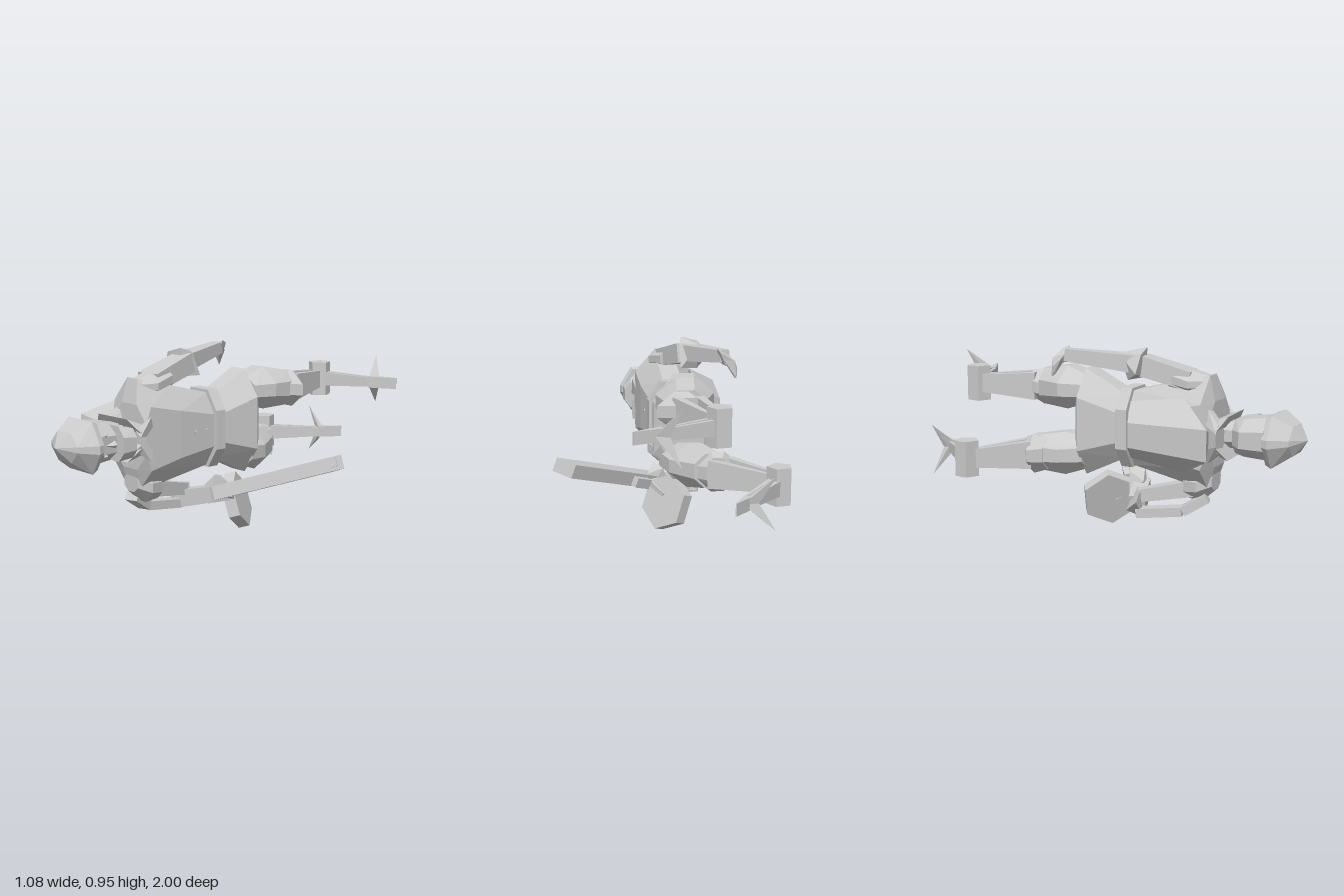
import * as THREE from 'three';
import { ConvexGeometry } from 'three/addons/geometries/ConvexGeometry.js';

const MID = 0.55; // the body's own mirror plane is y = MID
const mat = new THREE.MeshStandardMaterial({ color: 0xcccccc, flatShading: true });
const V = (p) => new THREE.Vector3(...p);
const flip = (pts) => pts.map(([x, y, z]) => [x, 2 * MID - y, z]);

// Chamfered rectangular cross-section at one z
function ring(z, x0, x1, y0, y1, kx = 0.28, ky = kx) {
  const a = (x1 - x0) * kx, b = (y1 - y0) * ky;
  return [[x0 + a, y0, z], [x1 - a, y0, z], [x1, y0 + b, z], [x1, y1 - b, z],
    [x1 - a, y1, z], [x0 + a, y1, z], [x0, y1 - b, z], [x0, y0 + b, z]];
}

export function createModel() {
  const root = new THREE.Group();
  const add = (parent, name, geo) => {
    const m = new THREE.Mesh(geo, mat);
    m.name = name;
    parent.add(m);
    return m;
  };
  const group = (name) => {
    const g = new THREE.Group();
    g.name = name;
    root.add(g);
    return g;
  };
  const hull = (parent, name, ...sets) => add(parent, name, new ConvexGeometry(sets.flat().map(V)));

  // Tapered bar from a to b; sizes are [width along side, thickness]
  function bar(parent, name, a, b, s0, s1, side = [0, 1, 0]) {
    const A = V(a), B = V(b), dir = B.clone().sub(A).normalize();
    const t = dir.clone().cross(V(side)).normalize(), w = t.clone().cross(dir);
    const pts = [];
    for (const [c, s] of [[A, s0], [B, s1]])
      for (const i of [-0.5, 0.5]) for (const j of [-0.5, 0.5])
        pts.push(c.clone().addScaledVector(w, i * s[0]).addScaledVector(t, j * s[1]));
    return add(parent, name, new ConvexGeometry(pts));
  }

  // Head with pointed helmet, face and jaw guard
  const head = group('head');
  hull(head, 'helmet', ring(0.825, -0.25, 0.05, 0.435, 0.66, 0.2, 0.42), ring(0.855, -0.26, 0.06, 0.42, 0.67, 0.2, 0.42),
    ring(0.945, -0.21, 0.01, 0.48, 0.62, 0.25, 0.4), [[-0.1, MID, 1.0]]);
  hull(head, 'face', ring(0.655, -0.19, -0.03, 0.465, 0.63), ring(0.71, -0.245, 0.0, 0.46, 0.64),
    ring(0.83, -0.24, 0.02, 0.45, 0.655));
  hull(head, 'jawGuard', ring(0.645, -0.05, 0.06, 0.48, 0.62), ring(0.72, -0.1, 0.06, 0.465, 0.635));
  hull(head, 'nose', [[0.0, 0.53, 0.73], [0.0, 0.57, 0.73], [0.035, 0.55, 0.74], [0.01, 0.55, 0.8]]);
  hull(head, 'neck', ring(0.54, -0.18, -0.06, 0.48, 0.62), ring(0.69, -0.17, -0.05, 0.49, 0.61));
  for (const y of [0.5, 0.6]) {
    const eye = add(head, 'eye', new THREE.IcosahedronGeometry(0.011, 0));
    eye.position.set(0.012, y, 0.79);
  }

  // Torso, belt and hips
  const body = group('body');
  hull(body, 'chest', ring(0.12, -0.23, 0.0, 0.355, 0.725), ring(0.35, -0.26, 0.02, 0.315, 0.785, 0.33, 0.25),
    ring(0.53, -0.28, 0.02, 0.27, 0.83, 0.37, 0.22), ring(0.56, -0.25, 0.02, 0.39, 0.71));
  hull(body, 'belt', ring(0.065, -0.25, 0.02, 0.345, 0.74, 0.25), ring(0.125, -0.25, 0.02, 0.345, 0.74, 0.25));
  hull(body, 'hips', ring(0.07, -0.23, 0.0, 0.38, 0.71), ring(-0.14, -0.27, 0.03, 0.28, 0.82, 0.33, 0.25),
    ring(-0.175, -0.22, 0.0, 0.36, 0.74));
  for (const z of [0.17, 0.25]) {
    const stud = add(body, 'chestStud', new THREE.CylinderGeometry(0.009, 0.009, 0.015, 6));
    stud.rotation.z = Math.PI / 2;
    stud.position.set(z === 0.17 ? 0.001 : 0.009, MID, z);
  }
  // Flared collar halves with sharp outer tips, and pointed lapels on the chest
  const collar = [[-0.3, 0.59, 0.62], [-0.24, 0.655, 0.655], [-0.02, 0.655, 0.645], [0.03, 0.59, 0.6],
    [-0.23, 0.62, 0.56], [0.0, 0.62, 0.56], [-0.22, 0.58, 0.56], [0.0, 0.58, 0.56]];
  const lapel = [[0.005, 0.56, 0.5], [0.03, 0.57, 0.6], [0.0, 0.6, 0.61], [0.035, 0.66, 0.54], [0.0, 0.66, 0.52]];
  for (const [side, place] of [['Left', (p) => p], ['Right', flip]]) {
    hull(body, 'collar' + side, place(collar));
    hull(body, 'lapel' + side, place(lapel));
  }
  hull(body, 'collarBack', ring(0.55, -0.26, -0.16, 0.42, 0.68), ring(0.62, -0.3, -0.2, 0.48, 0.62));

  // Wedge-shaped backpack
  const pack = [[-0.26, 0.73, 0.44], [-0.25, 0.69, 0.15], [-0.43, 0.625, 0.63], [-0.38, 0.61, 0.2], [-0.27, 0.58, 0.57]];
  hull(body, 'backpack', pack, flip(pack));

  // Digitigrade legs: thigh, twin shin plates, pentagonal ankle, twin struts, three-pronged foot
  function leg(name, thigh, knee, shins, ankle, struts, foot) {
    const g = group(name);
    hull(g, 'thigh', ...thigh);
    hull(g, 'kneeGuard', ...knee);
    for (const [a, b] of shins) bar(g, 'shinPlate', a, b, [0.14, 0.045], [0.09, 0.02]);
    const hub = add(g, 'ankleHub', new THREE.CylinderGeometry(0.062, 0.062, 0.18, 5));
    hub.position.set(...ankle);
    hub.rotation.y = 0.15;
    for (const [a, b] of struts) bar(g, 'footStrut', a, b, [0.075, 0.022], [0.05, 0.015]);
    const [cx, cy, cz] = foot.heel;
    const [sx, sz] = foot.spike;
    for (const s of [-1, 1])
      hull(g, 'spike', [[cx, cy - 0.03 * s, cz], [cx, cy + 0.03 * s, cz],
        [cx + (sx - cx) * 0.35, cy, cz + (sz - cz) * 0.6], foot.mid, [sx, cy + 0.13 * s, sz]]);
    bar(g, 'toe', foot.heel, foot.toe, [0.06, 0.04], [0.06, 0.006]);
  }
  leg('leftLeg',
    [ring(-0.14, -0.22, 0.01, 0.64, 0.78), ring(-0.26, -0.25, 0.04, 0.6, 0.82, 0.35), ring(-0.41, -0.18, 0.02, 0.61, 0.79)],
    [ring(-0.36, -0.17, 0.02, 0.63, 0.77), ring(-0.43, -0.17, 0.06, 0.6, 0.79, 0.35), ring(-0.485, -0.16, -0.02, 0.64, 0.77)],
    [[[-0.14, 0.7, -0.45], [-0.195, 0.7, -0.75]], [[-0.03, 0.7, -0.45], [-0.145, 0.7, -0.75]]],
    [-0.17, 0.7, -0.775],
    [[[-0.14, 0.7, -0.805], [0.13, 0.7, -0.9]], [[-0.14, 0.7, -0.76], [0.12, 0.7, -0.87]]],
    { heel: [0.11, 0.7, -0.88], mid: [0.15, 0.7, -0.92], spike: [0.045, -1.0], toe: [0.25, 0.7, -0.94] });
  leg('rightLeg',
    [ring(-0.13, -0.24, 0.0, 0.31, 0.47), ring(-0.25, -0.28, -0.03, 0.27, 0.49, 0.35), ring(-0.39, -0.31, -0.13, 0.3, 0.47)],
    [ring(-0.32, -0.3, -0.13, 0.3, 0.46), ring(-0.385, -0.35, -0.14, 0.28, 0.48, 0.35), ring(-0.435, -0.29, -0.18, 0.31, 0.46)],
    [[[-0.305, 0.38, -0.39], [-0.5, 0.375, -0.62]], [[-0.2, 0.38, -0.42], [-0.455, 0.375, -0.62]]],
    [-0.485, 0.375, -0.645],
    [[[-0.475, 0.37, -0.68], [-0.29, 0.37, -0.89]], [[-0.44, 0.37, -0.65], [-0.265, 0.37, -0.87]]],
    { heel: [-0.28, 0.37, -0.88], mid: [-0.25, 0.37, -0.91], spike: [-0.4, -0.92], toe: [-0.2, 0.37, -0.985] });

  // Left arm reaching along the body, with a hooked hand
  const armL = group('leftArm');
  hull(armL, 'shoulder', ring(0.53, -0.17, -0.07, 0.76, 0.82), ring(0.44, -0.23, -0.04, 0.73, 0.845, 0.35),
    ring(0.32, -0.21, -0.08, 0.76, 0.855));
  bar(armL, 'upperArm', [-0.14, 0.8, 0.42], [-0.19, 0.87, 0.15], [0.09, 0.13], [0.1, 0.1]);
  hull(armL, 'elbowCuff', [[-0.3, 0.83, 0.2], [-0.26, 0.92, 0.21], [-0.17, 0.945, 0.2], [-0.15, 0.8, 0.09],
    [-0.24, 0.79, 0.13], [-0.15, 0.92, 0.14], [-0.24, 0.92, 0.08], [-0.17, 0.8, 0.19]]);
  bar(armL, 'forearm', [-0.21, 0.87, 0.15], [-0.32, 0.905, -0.17], [0.085, 0.1], [0.06, 0.055]);
  hull(armL, 'palm', [[-0.28, 0.945, -0.17], [-0.34, 0.91, -0.16], [-0.3, 0.87, -0.15], [-0.29, 0.93, -0.2],
    [-0.355, 0.87, -0.19], [-0.355, 0.89, -0.22], [-0.32, 0.86, -0.2]]);
  hull(armL, 'fingers', [[-0.31, 0.89, -0.17], [-0.31, 0.89, -0.21], [-0.36, 0.89, -0.17], [-0.36, 0.89, -0.22],
    [-0.375, 0.85, -0.21], [-0.34, 0.85, -0.19], [-0.37, 0.8, -0.22], [-0.36, 0.805, -0.21]]);

  // Right arm: a thin outer brace and the upper arm meet at the elbow, forearm turns to the grip
  const armR = group('rightArm');
  hull(armR, 'shoulder', ring(0.55, -0.18, -0.07, 0.27, 0.36), ring(0.48, -0.21, -0.04, 0.21, 0.37, 0.35),
    ring(0.4, -0.18, -0.07, 0.22, 0.34));
  const brace = [[-0.16, 0.235, 0.52], [-0.2, 0.165, 0.41], [-0.23, 0.135, 0.18]];
  for (let i = 0; i < 2; i++)
    bar(armR, 'armBrace', brace[i], brace[i + 1], [0.045, 0.07], [0.045, 0.07]);
  bar(armR, 'upperArm', [-0.13, 0.27, 0.44], [-0.2, 0.215, 0.17], [0.08, 0.08], [0.06, 0.07]);
  hull(armR, 'elbowCuff', [[-0.29, 0.2, 0.2], [-0.22, 0.11, 0.2], [-0.2, 0.25, 0.18], [-0.25, 0.24, 0.2],
    [-0.17, 0.13, 0.13], [-0.17, 0.25, 0.15], [-0.24, 0.14, 0.12]]);
  bar(armR, 'forearm', [-0.2, 0.165, 0.16], [-0.02, 0.21, 0.1], [0.09, 0.08], [0.08, 0.08]);
  hull(armR, 'hand', [[-0.07, 0.25, 0.13], [-0.01, 0.31, 0.11], [0.03, 0.26, 0.05], [0.02, 0.17, 0.04],
    [-0.03, 0.16, 0.14], [-0.09, 0.18, 0.06], [-0.05, 0.29, 0.04]]);

  // Long bar weapon with a slanted end, built along its own z axis
  const weapon = group('weapon');
  const start = V([-0.02, 0.21, 0.1]), end = V([0.49, 0.4, -0.275]);
  const length = start.distanceTo(end);
  weapon.position.copy(start);
  weapon.lookAt(end);
  weapon.rotateZ(-0.2);
  const block = (name, w, h, l, x, y, z) =>
    add(weapon, name, new THREE.BoxGeometry(w, h, l)).position.set(x, y, z);
  const endFace = (x, z) => [-0.035, 0.035].map((y) => [x, y, z]);
  hull(weapon, 'barrel', endFace(-0.042, 0), endFace(0.042, 0), endFace(-0.042, length + 0.025), endFace(0.042, length - 0.03));
  block('sight', 0.03, 0.04, 0.06, -0.036, 0.004, length - 0.035);
  block('rearBump', 0.04, 0.05, 0.1, 0.055, -0.005, 0.16);
  // Flat hexagonal drum hung beneath the grip
  const drum = add(root, 'drum', new THREE.CylinderGeometry(0.145, 0.145, 0.06, 6));
  drum.position.set(-0.05, 0.142, -0.072);
  drum.quaternion.setFromUnitVectors(new THREE.Vector3(0, 1, 0), end.clone().sub(start).normalize());
  bar(root, 'drumMount', [-0.045, 0.16, -0.06], [0.02, 0.22, 0.05], [0.07, 0.05], [0.06, 0.05]);
  return root;
}
